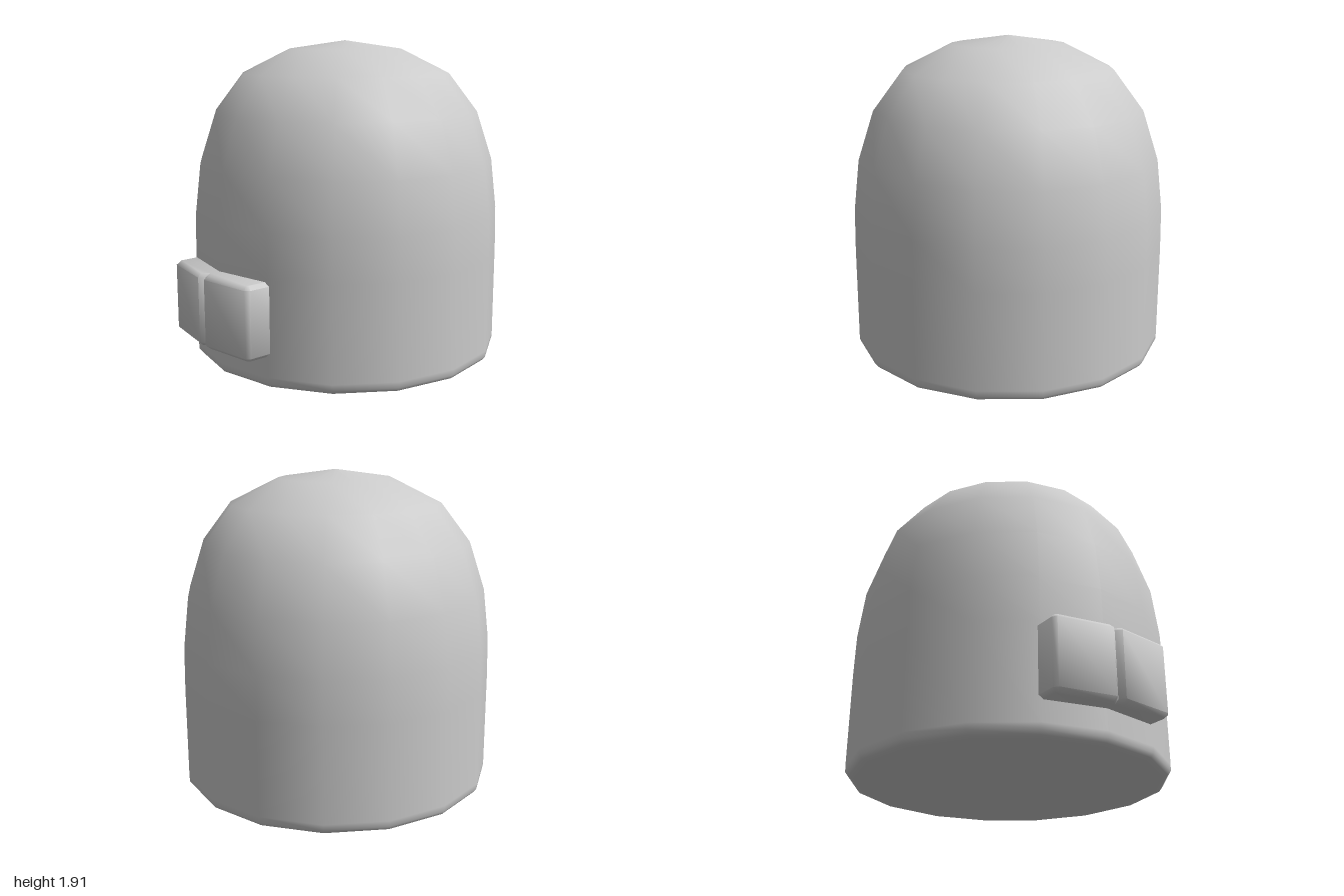
import * as THREE from 'three';
import { toCreasedNormals } from 'three/addons/utils/BufferGeometryUtils.js';

const material = new THREE.MeshStandardMaterial({ color: 0xcccccc });

function addPart(group, name, geometry) {
  const mesh = new THREE.Mesh(geometry, material);
  mesh.name = name;
  group.add(mesh);
  return mesh;
}

const points = (list) => list.map(([a, b]) => new THREE.Vector2(a, b));

export function createModel() {
  const group = new THREE.Group();
  group.name = 'domedBody';

  // Sixteen-sided shell: softly rounded base, straight wall, domed top
  const profile = points([
    [0, 0], [0.8, 0.014], [0.88, 0.02], [0.92, 0.032], [0.938, 0.055], [0.94, 0.09],
    [0.94, 0.65], [0.935, 0.9], [0.9, 1.2], [0.805, 1.49],
    [0.63, 1.72], [0.34, 1.865], [0, 1.915],
  ]);
  addPart(group, 'shell', new THREE.LatheGeometry(profile, 16)).position.x = 0.06;

  // Side block: bevelled plan with a shallow vertical groove in the middle
  const half = [[-0.97, 0], [-1, 0.03], [-0.95, 0.35], [-0.925, 0.37], [-0.6, 0.37]];
  const mirrored = half.slice(1).reverse().map(([x, z]) => [x, -z]);
  const plan = new THREE.Shape(points([...half, ...mirrored]));
  const bottom = 0.21, top = 0.635, bevel = 0.022;
  const block = new THREE.ExtrudeGeometry(plan, {
    depth: top - bottom - 2 * bevel,
    bevelEnabled: true,
    bevelThickness: bevel,
    bevelSize: bevel,
    bevelOffset: -bevel,
    bevelSegments: 1,
  });
  block.rotateX(-Math.PI / 2);
  block.translate(0, bottom + bevel, 0);
  addPart(group, 'sideBlock', toCreasedNormals(block, 0.85));

  return group;
}
